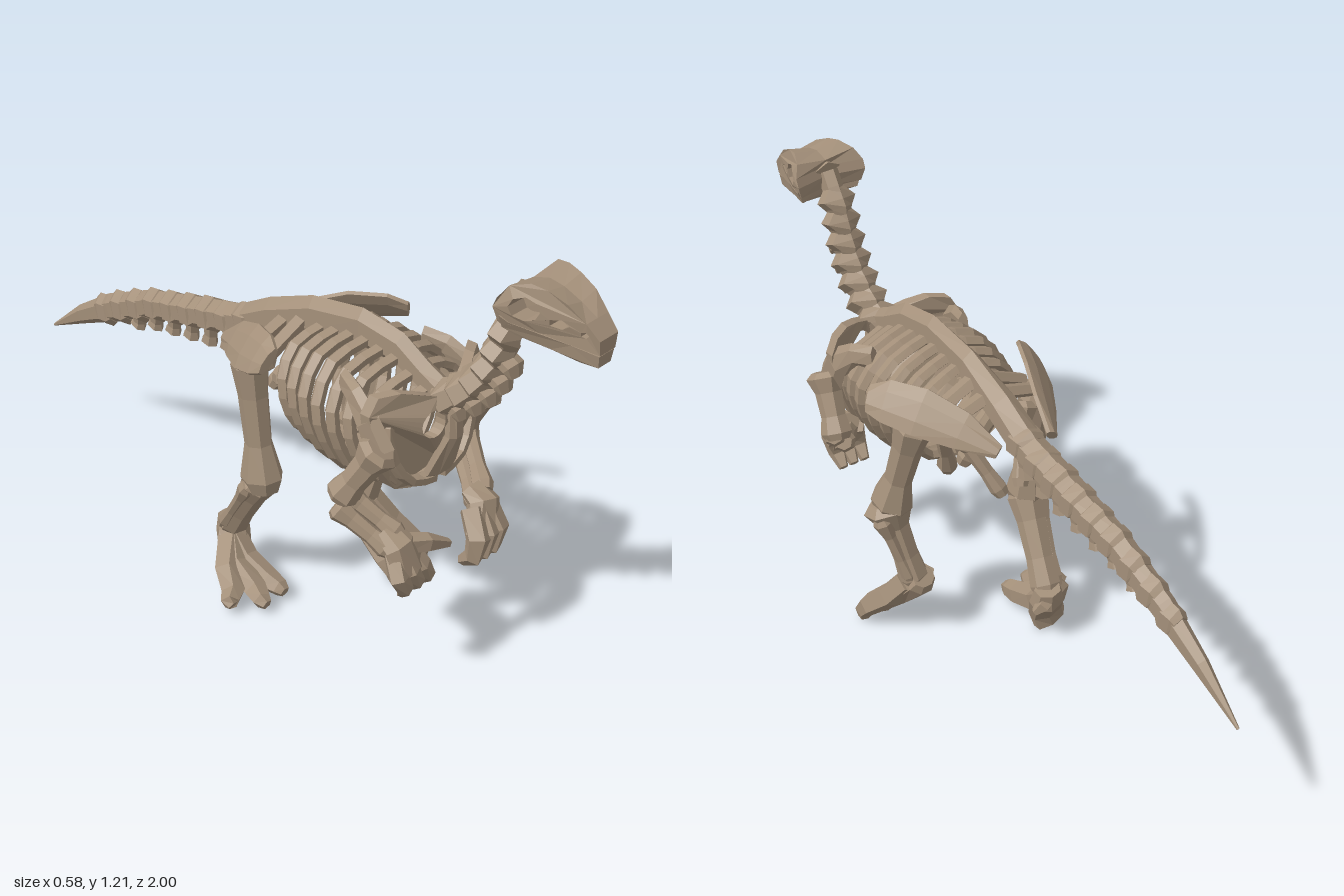
import * as THREE from 'three';

const V = (p) => new THREE.Vector3(p[0], p[1], p[2]);

export function createModel() {
  const model = new THREE.Group();
  model.name = 'dinosaurSkeleton';
  const boneMat = new THREE.MeshStandardMaterial({ color: 0xa4907a, flatShading: true });
  boneMat.name = 'bone';

  const add = (name, geo, parent = model) => {
    const m = new THREE.Mesh(geo, boneMat);
    m.name = name;
    parent.add(m);
    return m;
  };
  const group = (name) => {
    const g = new THREE.Group();
    g.name = name;
    model.add(g);
    return g;
  };

  // Closed loft: rings are [x, y, z, halfWidth along ref, halfDepth]
  function loft(rings, sides = 6, ref = [1, 0, 0]) {
    const pos = [], idx = [], n = rings.length;
    rings.forEach((r, i) => {
      const t = V(rings[Math.min(i + 1, n - 1)]).sub(V(rings[Math.max(i - 1, 0)])).normalize();
      const u = V(ref).addScaledVector(t, -V(ref).dot(t)).normalize();
      const v = t.clone().cross(u);
      for (let j = 0; j < sides; j++) {
        const a = ((j + 0.5) / sides) * Math.PI * 2;
        const p = V(r).addScaledVector(u, Math.cos(a) * r[3]).addScaledVector(v, Math.sin(a) * (r[4] ?? r[3]));
        pos.push(p.x, p.y, p.z);
      }
    });
    for (let i = 0; i < n - 1; i++) for (let j = 0; j < sides; j++) {
      const k = (j + 1) % sides, a = i * sides + j, b = i * sides + k;
      idx.push(a, b, a + sides, b, b + sides, a + sides);
    }
    const e = (n - 1) * sides;
    for (let j = 1; j < sides - 1; j++) idx.push(0, j + 1, j, e, e + j, e + j + 1);
    const g = new THREE.BufferGeometry();
    g.setAttribute('position', new THREE.Float32BufferAttribute(pos, 3));
    g.setIndex(idx);
    g.computeVertexNormals();
    return g;
  }

  // Long bone with flared knobbly ends
  function bone(name, a, b, r0, rm, r1, parent, depth = 1) {
    const rings = [[0, 0.7 * r0], [0.08, r0], [0.3, rm * 1.1], [0.65, rm], [0.9, r1], [1, 0.75 * r1]].map(([t, r]) =>
      [...V(a).lerp(V(b), t).toArray(), r, r * depth]);
    return add(name, loft(rings, 7), parent);
  }

  // Tapered digit through several points
  const digit = (name, pts, r, parent, ref) => add(name, loft(pts.map((p, i) => {
    const k = r * (1 - 0.6 * (i / (pts.length - 1)) ** 2);
    return [...p, k, k];
  }), 5, ref), parent);

  // Backbone and tail: [x, y, z, halfWidth, halfHeight]
  const backProfile = [
    [0, 0.77, 0.57, 0.032, 0.035], [0, 0.81, 0.48, 0.03, 0.04], [0, 0.85, 0.4, 0.027, 0.05],
    [0, 0.865, 0.28, 0.026, 0.055], [0, 0.84, 0.12, 0.03, 0.055], [0.003, 0.785, -0.03, 0.042, 0.05],
    [0.006, 0.725, -0.15, 0.046, 0.045], [0.01, 0.685, -0.32, 0.046, 0.043], [0.012, 0.635, -0.52, 0.038, 0.042],
    [0.015, 0.555, -0.7, 0.03, 0.044], [0.022, 0.475, -0.85, 0.02, 0.03], [0.03, 0.38, -1, 0.004, 0.004],
  ];
  add('spineAndTail', loft(backProfile, 6));

  const along = (z) => {
    let i = 0;
    while (i < backProfile.length - 2 && backProfile[i + 1][2] > z) i++;
    const a = backProfile[i], b = backProfile[i + 1], t = (a[2] - z) / (a[2] - b[2]);
    return a.map((q, k) => q + (b[k] - q) * t);
  };

  // Raised rims on the tail vertebrae, with chevrons beneath
  const vertebrae = group('vertebrae');
  for (let z = -0.13; z > -0.8; z -= 0.075) {
    const [x, y, , w, h] = along(z);
    const k = z < -0.25 ? 1.2 : 1.04;
    add('vertebra', loft([[x, y + 0.004, z + 0.028, w * 0.9, h * 0.9], [x, y, z + 0.016, w * 1.15, h * k],
      [x, y - 0.004, z - 0.018, w * 1.1, h * k], [x, y - 0.008, z - 0.03, w * 0.9, h * 0.9]], 6), vertebrae);
    if (z > -0.62) {
      const d = 0.066 * (1 - (-0.1 - z) * 1.3);
      add('chevron', loft([[x, y - h * 0.4, z, 0.026, 0.028], [x, y - h - d * 0.5, z - 0.006, 0.018, 0.02],
        [x, y - h - d, z - 0.012, 0.022, 0.028]], 6), vertebrae);
    }
  }

  // Neck: column, then a winged vertebra at each step
  const neck = group('neck');
  const neckCurve = new THREE.CatmullRomCurve3([[0, 0.765, 0.54], [0, 0.82, 0.612], [0, 0.895, 0.672],
    [0, 0.98, 0.712], [0, 1.07, 0.74], [0, 1.15, 0.785]].map(V));
  add('neckColumn', loft(neckCurve.getPoints(10).map((p) => [p.x, p.y, p.z, 0.028, 0.038]), 6), neck);
  for (let i = 0; i < 7; i++) {
    const t = 0.06 + i * 0.125, p = neckCurve.getPoint(t), d = neckCurve.getTangent(t);
    const s = 1.12 - i * 0.03;
    add('neckVertebra', loft([[-0.04, 0.028, 0.036], [-0.018, 0.04, 0.046], [0.006, 0.064, 0.042], [0.04, 0.028, 0.036]].map(([o, w, h]) =>
      [...p.clone().addScaledVector(d, o).toArray(), w * s, h * s]), 6), neck);
    const q = p.clone().addScaledVector(d, -0.01);
    if (i < 5) add('neckRib', loft([[0, q.y, q.z + 0.01, 0.034, 0.022], [0, q.y - 0.018, q.z + 0.048, 0.036, 0.02],
      [0, q.y - 0.042, q.z + 0.056, 0.024, 0.01]], 6), neck);
  }

  // Skull: side outline with openings, tapered toward the snout and brow
  const skull = group('skull');
  const sideSlab = (name, outline, holes) => {
    const s = new THREE.Shape(outline.map((p) => new THREE.Vector2(...p)));
    for (const [cz, cy, rz, ry, n] of holes) {
      const hole = [];
      for (let i = 0; i < n; i++) {
        const a = (-i / n) * Math.PI * 2;
        hole.push(new THREE.Vector2(cz + rz * Math.cos(a), cy + ry * Math.sin(a)));
      }
      s.holes.push(new THREE.Path(hole));
    }
    const g = new THREE.ExtrudeGeometry(s, { depth: 2, steps: 2, bevelEnabled: false });
    g.translate(0, 0, -1).rotateY(-Math.PI / 2);
    const p = g.attributes.position;
    for (let i = 0; i < p.count; i++) {
      const y = p.getY(i), z = p.getZ(i), x = p.getX(i);
      const w = THREE.MathUtils.lerp(0.11, 0.038, THREE.MathUtils.clamp((z - 0.775) / 0.2, 0, 1));
      const f = y > 1.17 ? 1 - (y - 1.17) * 5 : 1 - Math.max(0, 1.13 - y) * 4;
      p.setX(i, 0.003 + x * w * f);
      // shallow groove along the crown and a hollow at the nape
      if (Math.abs(x) < 0.1) {
        if (y > 1.18) p.setY(i, y - 0.012);
        if (z < 0.77) p.setZ(i, z + 0.025);
      }
    }
    g.computeVertexNormals();
    add(name, g, skull);
  };
  sideSlab('cranium', [[1, 1.072], [1, 1.11], [0.965, 1.145], [0.92, 1.182], [0.87, 1.203], [0.83, 1.21], [0.785, 1.197],
    [0.765, 1.165], [0.755, 1.14], [0.762, 1.105], [0.79, 1.098], [0.86, 1.093], [0.93, 1.08]],
  [[0.828, 1.15, 0.036, 0.03, 8], [0.905, 1.13, 0.024, 0.013, 5], [0.962, 1.115, 0.01, 0.008, 5]]);
  sideSlab('lowerJaw', [[0.995, 1.037], [0.998, 1.069], [0.93, 1.078], [0.86, 1.092], [0.79, 1.105], [0.77, 1.12],
    [0.77, 1.085], [0.8, 1.07], [0.88, 1.053], [0.95, 1.037]], []);
  add('braincase', loft([[0, 1.14, 0.78, 0.05, 0.04], [0, 1.145, 0.86, 0.035, 0.035], [0, 1.105, 0.98, 0.014, 0.02]], 6), skull);

  // Ribs on both sides
  const ribs = group('ribcage');
  for (let i = 0; i < 8; i++) {
    const z = 0.15 + i * 0.05, y = along(z)[1] - 0.02;
    const w = 0.14 + 0.055 * Math.sin(((i + 1) / 9) * Math.PI);
    const low = 0.54 - 0.03 * Math.sin((i / 7) * Math.PI);
    for (const m of [-1, 1]) {
      const c = new THREE.CatmullRomCurve3([[m * 0.015, y, z], [m * w * 0.65, y - 0.025, z - 0.012], [m * w, 0.73, z],
        [m * w * 0.93, 0.63, z + 0.015], [m * w * 0.6, low + 0.02, z + 0.03], [m * 0.015, low, z + 0.035]].map(V));
      add('rib', loft(c.getPoints(10).map((p) => [p.x, p.y, p.z, 0.021, 0.015]), 5, [0, 0, 1]), ribs);
    }
  }
  add('breastbone', loft([[0, 0.8, 0.575, 0.02, 0.02], [0, 0.68, 0.585, 0.03, 0.02], [0, 0.57, 0.545, 0.06, 0.022],
    [0, 0.515, 0.47, 0.09, 0.02], [0, 0.502, 0.34, 0.08, 0.018], [0, 0.525, 0.19, 0.03, 0.014]], 8), ribs);

  // Curved chest plates with an opening, and shoulder blades
  const shoulders = group('shoulderGirdle');
  for (const m of [-1, 1]) {
    const s = new THREE.Shape([[0.01, 0.79], [0.05, 0.8], [0.09, 0.815], [0.14, 0.83], [0.19, 0.825], [0.215, 0.78], [0.21, 0.7],
      [0.195, 0.64], [0.165, 0.575], [0.11, 0.525], [0.06, 0.51], [0.01, 0.51], [0.01, 0.6], [0.01, 0.7]].map(([x, y]) => new THREE.Vector2(m * x, y)));
    s.holes.push(new THREE.Path().absellipse(m * 0.068, 0.732, 0.034, 0.038, 0, Math.PI * 2, true));
    const g = new THREE.ExtrudeGeometry(s, { depth: 0.03, bevelEnabled: false, curveSegments: 8 });
    const p = g.attributes.position;
    for (let i = 0; i < p.count; i++) {
      const x = p.getX(i), y = p.getY(i);
      p.setZ(i, p.getZ(i) + 0.555 - 1.9 * x * x - Math.max(0, 0.68 - y) * 0.45 - Math.max(0, y - 0.76) * 0.3);
    }
    g.computeVertexNormals();
    add('chestPlate', g, shoulders);
    add('shoulderBlade', loft([[m * 0.19, 0.68, 0.51, 0.024, 0.05], [m * 0.195, 0.75, 0.47, 0.022, 0.045],
      [m * 0.175, 0.795, 0.41, 0.02, 0.034], [m * 0.15, 0.805, 0.35, 0.015, 0.035]], 6), shoulders);
  }

  // Pelvis: tilted blades, sacral struts and lower hip bones
  const pelvis = group('pelvis');
  const blades = {
    1: [[0.262, 0.79, 0.21], [0.238, 0.795, 0.165], [0.19, 0.785, 0.08], [0.128, 0.755, -0.02], [0.075, 0.715, -0.11]],
    '-1': [[-0.212, 0.8, 0.15], [-0.2, 0.8, 0.11], [-0.172, 0.785, 0.04], [-0.125, 0.755, -0.05], [-0.085, 0.715, -0.13]],
  };
  for (const m of [-1, 1]) {
    const half = [0.04, 0.062, 0.07, 0.055, 0.02];
    add('hipBlade', loft(blades[m].map((p, i) => [...p, half[i], 0.014]), 8, [m * 0.65, -0.75, 0]), pelvis);
    for (const z of [0.02, 0.08]) {
      add('sacralStrut', loft([[0, along(z)[1], z, 0.026, 0.02], [m * 0.15, 0.76, z, 0.024, 0.018]], 5, [0, 0, 1]), pelvis);
    }
    bone('pubis', [m * 0.11, 0.72, 0.1], [m * 0.025, 0.48, 0.19], 0.04, 0.02, 0.03, pelvis);
    bone('ischium', [m * 0.11, 0.73, 0.03], [m * 0.03, 0.54, -0.07], 0.042, 0.02, 0.025, pelvis);
  }

  // Left leg, pushing off on its toes
  const leftLeg = group('leftLeg');
  bone('thigh', [0.19, 0.76, 0.1], [0.218, 0.42, 0.2], 0.054, 0.038, 0.058, leftLeg, 1.1);
  bone('shin', [0.224, 0.45, 0.205], [0.178, 0.18, 0.135], 0.074, 0.038, 0.044, leftLeg, 0.9);
  bone('fibula', [0.26, 0.42, 0.18], [0.198, 0.2, 0.13], 0.03, 0.016, 0.022, leftLeg);
  add('ankle', loft([[0.172, 0.215, 0.11, 0.035, 0.03], [0.172, 0.195, 0.13, 0.048, 0.046], [0.18, 0.12, 0.19, 0.06, 0.034],
    [0.198, 0.05, 0.26, 0.08, 0.026]], 8), leftLeg);
  for (const [x, y] of [[0.142, 0.03], [0.2, 0.02], [0.26, 0.03]]) {
    const k = 0.17 + (x - 0.195) * 0.4;
    digit('toe', [[k, 0.19, 0.15], [(k + x) / 2, 0.12, 0.2], [x, 0.065, 0.258], [x + 0.004, y, 0.284], [x + 0.004, 0.004, 0.288]], 0.04, leftLeg);
  }

  // Right leg, standing flat
  const rightLeg = group('rightLeg');
  bone('thigh', [-0.16, 0.76, 0.03], [-0.16, 0.36, 0.08], 0.05, 0.036, 0.056, rightLeg, 1.1);
  bone('shin', [-0.16, 0.4, 0.08], [-0.115, 0.14, -0.09], 0.056, 0.04, 0.046, rightLeg, 0.9);
  bone('fibula', [-0.195, 0.38, 0.06], [-0.145, 0.16, -0.09], 0.026, 0.016, 0.022, rightLeg);
  add('ankle', loft([[-0.105, 0.175, -0.1, 0.04, 0.035], [-0.11, 0.13, -0.09, 0.052, 0.044], [-0.14, 0.06, -0.05, 0.055, 0.036],
    [-0.155, 0.014, -0.05, 0.055, 0.03]], 7), rightLeg);
  for (const [x, z] of [[-0.272, 0.07], [-0.205, 0.135], [-0.13, 0.13]]) {
    digit('toe', [[-0.125, 0.12, -0.08], [(x - 0.14) / 2, 0.07, -0.015], [x * 0.75 - 0.035, 0.04, z * 0.55], [x, 0.034, z * 0.85], [x, 0.028, z]], 0.04, rightLeg);
  }
  digit('rearToe', [[-0.11, 0.15, -0.1], [-0.08, 0.13, -0.11], [-0.06, 0.11, -0.1]], 0.028, rightLeg, [0, 0, 1]);

  // Arms: shoulder, elbow, wrist, palm
  const arm = (name, s, e, w, palm) => {
    const g = group(name);
    bone('upperArm', s, e, 0.056, 0.036, 0.046, g);
    for (const o of [-0.016, 0.016]) {
      bone('forearm', [e[0] + o, e[1] + o, e[2]], [w[0] + o, w[1] + o, w[2]], 0.034, 0.023, 0.03, g);
    }
    add('palm', loft([[w[0], w[1] + 0.025, w[2] - 0.03, 0.038, 0.028], [w[0], w[1], w[2] + 0.01, 0.048, 0.04],
      [...palm, 0.062, 0.032]], 7), g);
    return g;
  };
  const leftArm = arm('leftArm', [0.205, 0.7, 0.52], [0.228, 0.53, 0.43], [0.105, 0.44, 0.6], [0.074, 0.365, 0.635]);
  for (const x of [0.03, 0.068, 0.105]) {
    digit('finger', [[x * 0.6 + 0.05, 0.43, 0.605], [x + 0.01, 0.37, 0.65], [x, 0.32, 0.645], [x + 0.005, 0.288, 0.605]], 0.037, leftArm);
  }
  const rightArm = arm('rightArm', [-0.2, 0.7, 0.52], [-0.25, 0.54, 0.43], [-0.195, 0.44, 0.57], [-0.18, 0.37, 0.605]);
  for (const x of [-0.22, -0.175, -0.135]) {
    digit('finger', [[x * 0.5 - 0.1, 0.42, 0.58], [x - 0.01, 0.37, 0.615], [x + 0.015, 0.33, 0.615], [x + 0.035, 0.29, 0.585]], 0.03, rightArm);
  }
  digit('thumb', [[-0.19, 0.44, 0.58], [-0.12, 0.425, 0.61], [-0.045, 0.39, 0.62]], 0.03, rightArm, [0, 0, 1]);

  return model;
}
